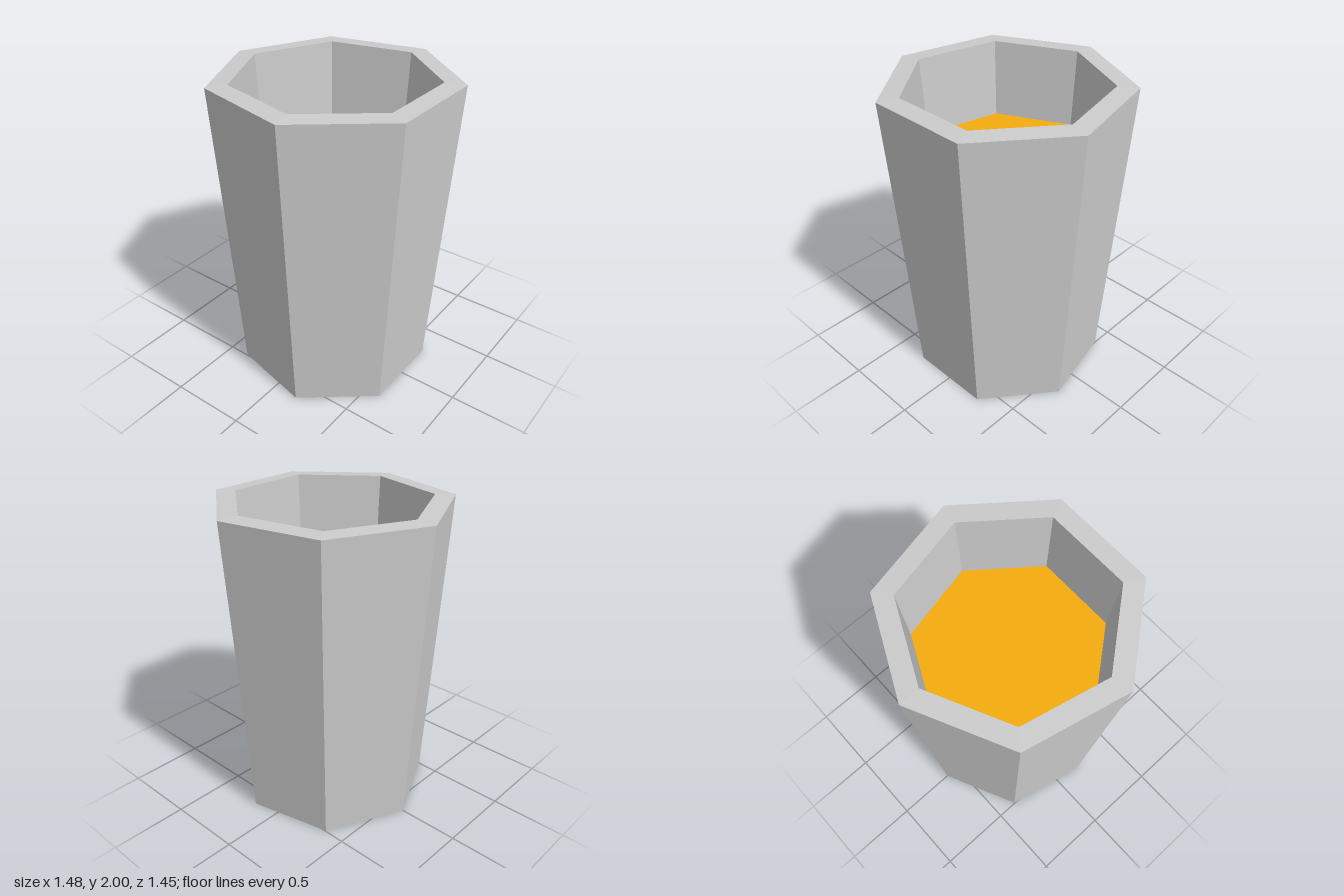
import * as THREE from 'three';

const SIDES = 7;
const CENTER_Z = 0.036; // centres the odd-sided outline on z = 0

export function createModel() {
  const group = new THREE.Group();
  group.name = 'cup';

  // Cup: one closed profile, up the outer wall, over the rim and down inside
  const profile = [
    [0, 0], [0.634, 0], [0.761, 1.993], // base and outer wall
    [0.63, 2], [0.515, 0.1], [0, 0.1],  // rim, inner wall and floor
  ].map(([r, y]) => new THREE.Vector2(r, y));
  const cup = new THREE.Mesh(
    new THREE.LatheGeometry(profile, SIDES, Math.PI),
    new THREE.MeshStandardMaterial({ color: 0xcccccc, flatShading: true })
  );
  cup.name = 'cupBody';

  // Drink surface, with a corner pointing to the back like the cup
  const drink = new THREE.Mesh(
    new THREE.CircleGeometry(0.6, SIDES, Math.PI / 2).rotateX(-Math.PI / 2),
    new THREE.MeshStandardMaterial({ color: 0xf5ab0e, flatShading: true })
  );
  drink.name = 'drinkSurface';
  drink.position.y = 1.5;

  for (const part of [cup, drink]) {
    part.position.z = CENTER_Z;
    group.add(part);
  }
  return group;
}
